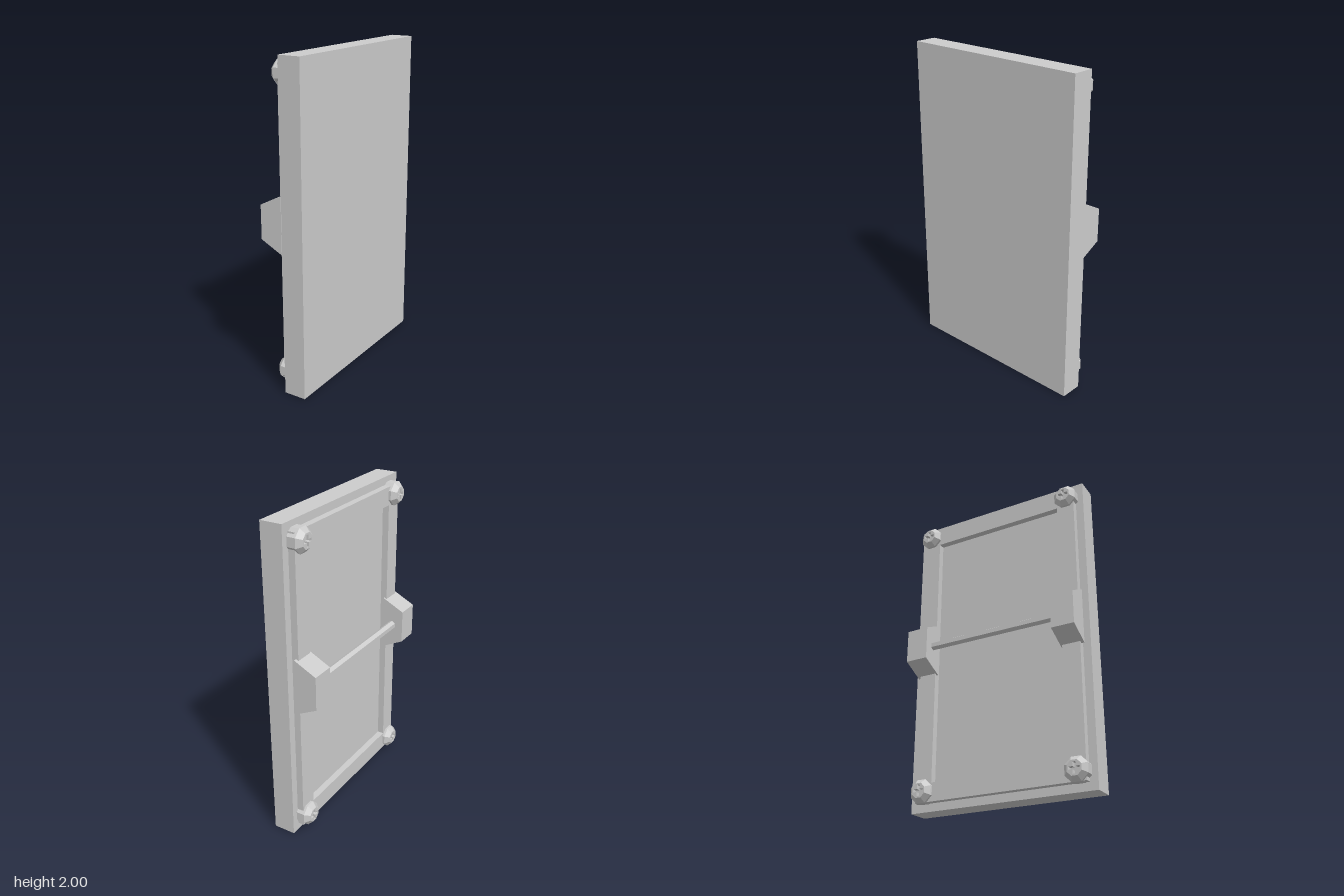
import * as THREE from 'three';

const material = new THREE.MeshStandardMaterial({ color: 0xcccccc, flatShading: true });

function addMesh(parent, name, geometry, x = 0, y = 0, z = 0) {
  const mesh = new THREE.Mesh(geometry, material);
  mesh.name = name;
  mesh.position.set(x, y, z);
  parent.add(mesh);
  return mesh;
}

function polygon(points, Kind = THREE.Shape) {
  return new Kind(points.map(([a, b]) => new THREE.Vector2(a, b)));
}

const rectangle = (w, y0, y1, Kind) => polygon([[-w, y0], [w, y0], [w, y1], [-w, y1]], Kind);

// Extrudes a shape drawn in (z, y) towards -x
function extrudeOutward(shape, depth) {
  return new THREE.ExtrudeGeometry(shape, { depth, bevelEnabled: false }).rotateY(-Math.PI / 2);
}

// Octagonal tapered screw head with a cross recess
function screwHeadGeometry(radius, depth) {
  const octagon = [];
  for (let i = 0; i < 8; i++) {
    const a = (i + 0.5) * Math.PI / 4;
    octagon.push([radius * Math.cos(a), radius * Math.sin(a)]);
  }
  const shape = polygon(octagon);
  const l = 0.034, w = 0.009;
  shape.holes.push(polygon([
    [w, w], [w, l], [-w, l], [-w, w], [-l, w], [-l, -w],
    [-w, -w], [-w, -l], [w, -l], [w, -w], [l, -w], [l, w],
  ], THREE.Path));
  const geometry = extrudeOutward(shape, depth);
  const p = geometry.attributes.position;
  for (let i = 0; i < p.count; i++) {
    const outer = Math.hypot(p.getY(i), p.getZ(i)) > 0.05;
    if (outer && p.getX(i) < -depth / 2) {
      p.setY(i, p.getY(i) * 0.62);
      p.setZ(i, p.getZ(i) * 0.62);
    }
  }
  geometry.computeVertexNormals();
  return geometry;
}

export function createModel() {
  const model = new THREE.Group();
  model.name = 'doorPanel';

  // Main slab
  addMesh(model, 'slab', new THREE.BoxGeometry(0.14, 2, 1.22), 0.083, 1, 0);

  // Raised rectangular frame
  const frame = rectangle(0.56, 0.05, 1.95);
  frame.holes.push(rectangle(0.445, 0.165, 1.835, THREE.Path));
  addMesh(model, 'frame', extrudeOutward(frame, 0.042), 0.013, 0, 0);

  // Corner screws
  const collar = new THREE.CylinderGeometry(0.074, 0.074, 0.056, 8)
    .rotateY(Math.PI / 8).rotateZ(Math.PI / 2);
  const head = screwHeadGeometry(0.077, 0.03);
  for (const y of [0.115, 1.897]) {
    for (const z of [-0.507, 0.507]) {
      const screw = new THREE.Group();
      screw.name = 'screw';
      screw.position.set(0, y, z);
      addMesh(screw, 'screwCollar', collar, -0.017);
      addMesh(screw, 'screwHead', head, -0.045);
      model.add(screw);
    }
  }

  // Tapered handle mounts
  const mountProfile = polygon([[-0.013, 0.865], [-0.013, 1.215], [-0.155, 1.145], [-0.155, 0.935]]);
  const mount = new THREE.ExtrudeGeometry(mountProfile, { depth: 0.146, bevelEnabled: false })
    .translate(0, 0, -0.073);
  for (const z of [-0.507, 0.507]) addMesh(model, 'handleMount', mount, 0, 0, z);

  // Handle bar, with a ridge along its top
  const bar = new THREE.CylinderGeometry(0.027, 0.027, 0.9, 6).rotateX(Math.PI / 2);
  addMesh(model, 'handleBar', bar, -0.079, 1.04, 0);

  return model;
}
